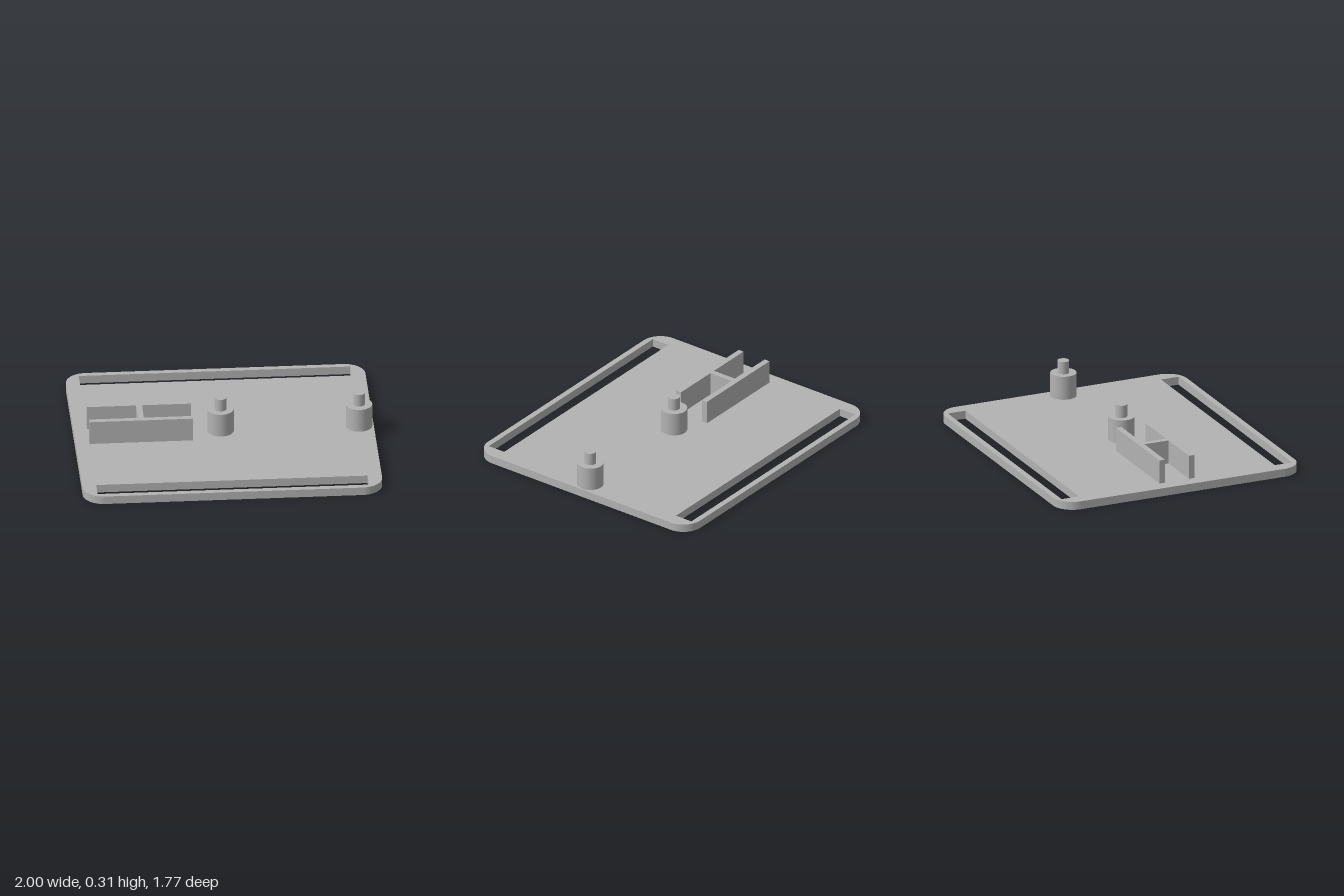
import * as THREE from 'three';

const PLATE_TOP = 0.056;
const POST_TOP = 0.219;
const PIN_TOP = 0.305;

// Rounded rectangle outline centred on the origin
function roundedRect(hw, hd, r) {
  const s = new THREE.Shape();
  s.moveTo(hw, -hd + r);
  s.lineTo(hw, hd - r);
  s.absarc(hw - r, hd - r, r, 0, Math.PI / 2);
  s.absarc(-hw + r, hd - r, r, Math.PI / 2, Math.PI);
  s.absarc(-hw + r, -hd + r, r, Math.PI, Math.PI * 1.5);
  s.absarc(hw - r, -hd + r, r, Math.PI * 1.5, Math.PI * 2);
  return s;
}

// Rectangular hole between two corners
function slot(x0, x1, y0, y1) {
  return new THREE.Path([
    new THREE.Vector2(x0, y0), new THREE.Vector2(x0, y1),
    new THREE.Vector2(x1, y1), new THREE.Vector2(x1, y0),
  ]);
}

export function createModel() {
  const model = new THREE.Group();
  model.name = 'mountingPlate';
  const grey = new THREE.MeshStandardMaterial({ color: 0xb2b2b2 });
  grey.name = 'grey';

  const add = (parent, name, geometry, x = 0, y = 0, z = 0) => {
    const mesh = new THREE.Mesh(geometry, grey);
    mesh.name = name;
    mesh.position.set(x, y, z);
    parent.add(mesh);
    return mesh;
  };

  // Base plate with a long slot along the front and back edges
  const outline = roundedRect(1, 0.885, 0.14);
  outline.holes.push(slot(-0.907, 0.905, 0.717, 0.845), slot(-0.907, 0.905, -0.845, -0.717));
  const plate = new THREE.ExtrudeGeometry(outline, {
    depth: PLATE_TOP, bevelEnabled: false, curveSegments: 16,
  });
  plate.rotateX(-Math.PI / 2);
  add(model, 'basePlate', plate);

  // H-shaped bracket: two rails joined by a web
  const bracket = new THREE.Group();
  bracket.name = 'bracket';
  model.add(bracket);
  const h = POST_TOP - PLATE_TOP;
  const midY = PLATE_TOP + h / 2;
  for (const [name, side] of [['frontRail', 1], ['backRail', -1]]) {
    add(bracket, name, new THREE.BoxGeometry(0.692, h, 0.04), -0.561, midY, side * 0.108);
  }
  add(bracket, 'web', new THREE.BoxGeometry(0.04, h, 0.176), -0.561, midY, 0);

  // Stepped posts: wide shoulder with a thin pin on top
  for (const [name, x] of [['centrePost', -0.023], ['leftPost', 0.902]]) {
    const post = new THREE.Group();
    post.name = name;
    post.position.x = x;
    model.add(post);
    add(post, 'shoulder', new THREE.CylinderGeometry(0.088, 0.088, h, 48), 0, midY, 0);
    add(post, 'pin', new THREE.CylinderGeometry(0.039, 0.039, PIN_TOP - POST_TOP, 32),
      0, (POST_TOP + PIN_TOP) / 2, 0);
  }
  return model;
}
